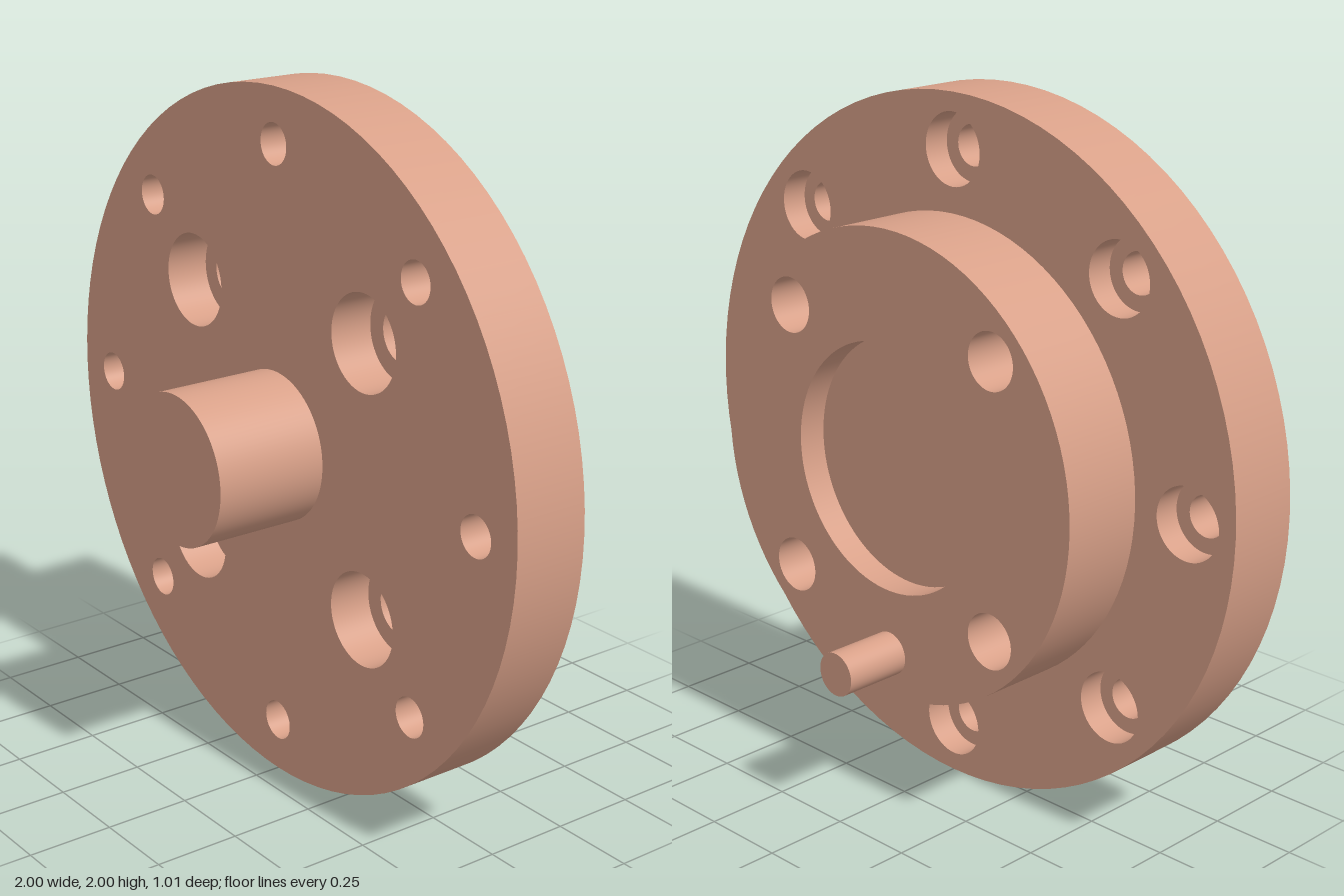
import * as THREE from 'three';

const SEGMENTS = 96;

// Surface swept around the z axis through [radius, z] points, each section with sharp ends.
// Rising z faces outwards, falling z faces inwards; shrinking radius faces +z.
function turned(name, profile, material, x = 0, y = 0) {
  const group = new THREE.Group();
  group.name = name;
  for (let i = 0; i < profile.length - 1; i++) {
    const points = [profile[i], profile[i + 1]].map(([r, z]) => new THREE.Vector2(r, z));
    const geometry = new THREE.LatheGeometry(points, SEGMENTS);
    geometry.rotateX(Math.PI / 2);
    const mesh = new THREE.Mesh(geometry, material);
    mesh.name = name + 'Surface';
    group.add(mesh);
  }
  group.position.set(x, y, 0);
  return group;
}

// Flat round face with circular openings [x, y, radius].
function face(name, radius, z, openings, backward, material) {
  const shape = new THREE.Shape();
  shape.absarc(0, 0, radius, 0, Math.PI * 2);
  for (const [x, y, r] of openings) {
    shape.holes.push(new THREE.Path().absarc(x, y, r, 0, Math.PI * 2, true));
  }
  const geometry = new THREE.ShapeGeometry(shape, SEGMENTS / 2);
  // The hole layouts are symmetric, so a half turn keeps them aligned.
  if (backward) geometry.rotateY(Math.PI);
  const mesh = new THREE.Mesh(geometry, material);
  mesh.name = name;
  mesh.position.z = z;
  return mesh;
}

// Evenly spaced centres on a bolt circle.
function boltCircle(count, radius, start) {
  return Array.from({ length: count }, (_, i) => {
    const a = start + (i / count) * Math.PI * 2;
    return [radius * Math.cos(a), radius * Math.sin(a)];
  });
}

export function createModel() {
  const model = new THREE.Group();
  model.name = 'flangedHub';
  const material = new THREE.MeshStandardMaterial({ color: 0xd8a088 });

  const flangeR = 1, bossR = 0.67, shaftR = 0.215, recessR = 0.357;
  const front = 0.172, step = -0.05, back = -0.302, end = 0.505;
  const recessFloor = back + 0.085;
  const outer = { centres: boltCircle(8, 0.845, 0), r: 0.058, bore: 0.102, floor: step + 0.08 };
  const inner = { centres: boltCircle(4, 0.55, Math.PI / 4), r: 0.08, bore: 0.135, floor: front - 0.13 };
  const openings = (set, r) => set.centres.map(([x, y]) => [x, y, r]);

  // Rims and flat faces of the flange and the rear boss
  model.add(turned('flangeRim', [[flangeR, step], [flangeR, front]], material));
  model.add(turned('bossRim', [[bossR, back], [bossR, step]], material));
  model.add(face('flangeFront', flangeR, front,
    [...openings(outer, outer.r), ...openings(inner, inner.bore), [0, 0, shaftR]], false, material));
  model.add(face('flangeBack', flangeR, step,
    [...openings(outer, outer.bore), [0, 0, bossR]], true, material));
  model.add(face('bossBack', bossR, back,
    [...openings(inner, inner.r), [0, 0, recessR]], true, material));

  // Round recess in the boss
  model.add(turned('recess', [[0, recessFloor], [recessR, recessFloor], [recessR, back]], material));

  // Outer screw holes, counterbored from the back
  for (const [x, y] of outer.centres) {
    model.add(turned('outerScrewHole',
      [[outer.r, front], [outer.r, outer.floor], [outer.bore, outer.floor], [outer.bore, step]], material, x, y));
  }
  // Inner screw holes, counterbored from the front
  for (const [x, y] of inner.centres) {
    model.add(turned('innerScrewHole',
      [[inner.bore, front], [inner.bore, inner.floor], [inner.r, inner.floor], [inner.r, back]], material, x, y));
  }

  // Central shaft and locating pin
  model.add(turned('shaft', [[shaftR, front], [shaftR, end], [0, end]], material));
  model.add(turned('locatingPin', [[0, -end], [0.063, -end], [0.063, back]], material, 0, -0.546));

  model.position.y = 1;
  const root = new THREE.Group();
  root.name = 'model';
  root.add(model);
  return root;
}
